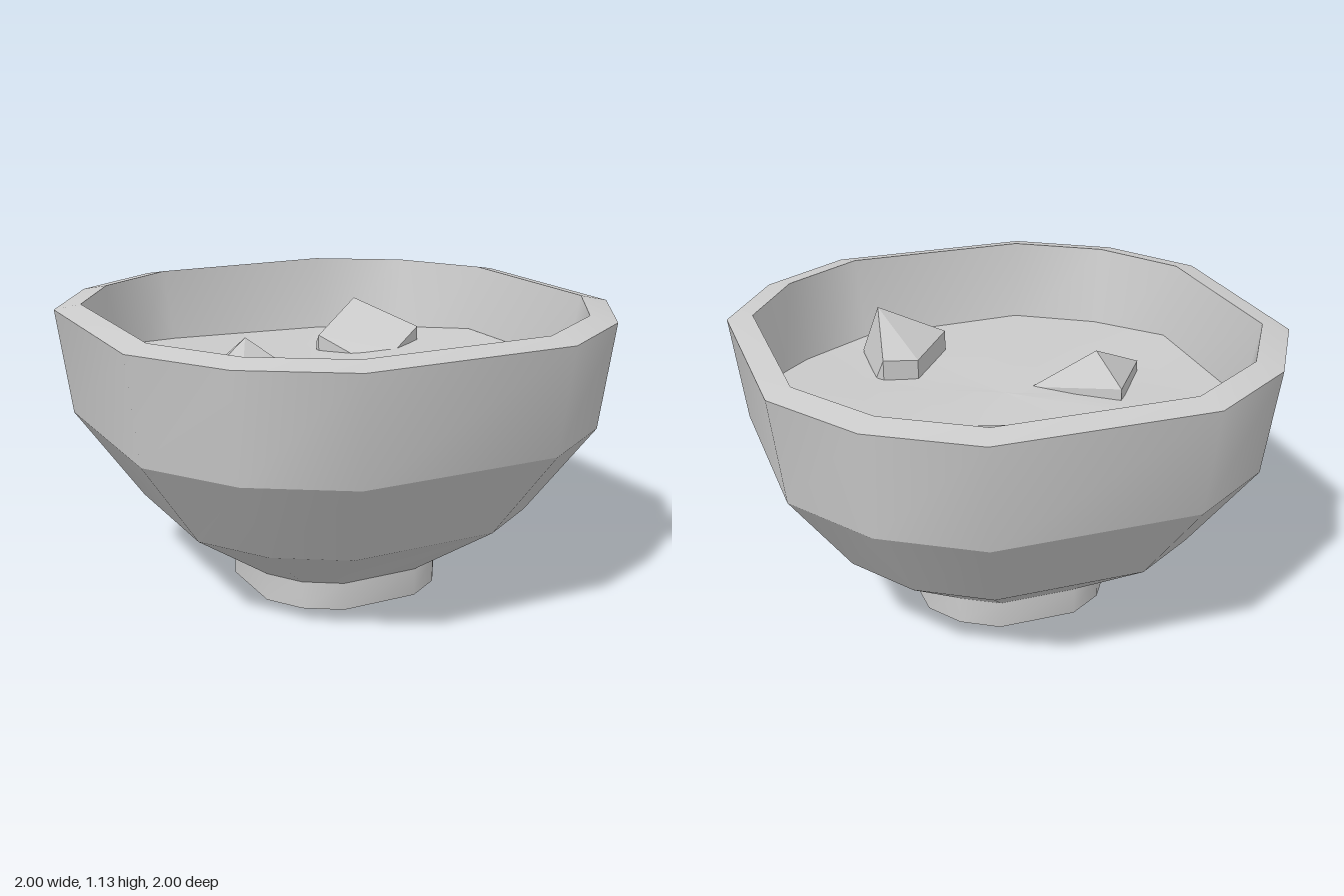
import * as THREE from 'three';
import { ConvexGeometry } from 'three/addons/geometries/ConvexGeometry.js';

// Twelve-sided outline, half-width 1, going from +x towards +z
const OUTLINE = [
  [1, 0.41], [0.77, 0.77], [0.41, 1], [-0.41, 1], [-0.77, 0.77], [-1, 0.41],
  [-1, -0.41], [-0.77, -0.77], [-0.41, -1], [0.41, -1], [0.77, -0.77], [1, -0.41],
];

// Surface height of the soup at each corner of the outline
const WAVES = [0.86, 0.805, 0.8, 0.81, 0.81, 0.83, 0.82, 0.885, 0.84, 0.82, 0.83, 0.86];

const material = new THREE.MeshStandardMaterial({ color: 0xcccccc });

// Surface through scaled copies of the outline; each ring is [scale, height or heights]
function loft(name, rings) {
  const n = OUTLINE.length;
  const positions = [];
  const index = [];
  rings.forEach(([r, y], k) => {
    OUTLINE.forEach(([x, z], i) => positions.push(x * r, Array.isArray(y) ? y[i] : y, z * r));
    if (k === 0) return;
    for (let i = 0; i < n; i++) {
      const j = (i + 1) % n;
      const lo = (k - 1) * n, hi = k * n;
      index.push(lo + i, hi + i, lo + j);
      if (r > 0) index.push(lo + j, hi + i, hi + j);
    }
  });
  const geometry = new THREE.BufferGeometry();
  geometry.setAttribute('position', new THREE.Float32BufferAttribute(positions, 3));
  geometry.setIndex(index);
  geometry.computeVertexNormals();
  const mesh = new THREE.Mesh(geometry, material);
  mesh.name = name;
  return mesh;
}

// Angular chunk: hull of its visible corners and their copies sunk into the soup
function chunk(name, corners) {
  const points = [];
  for (const [x, y, z] of corners) {
    points.push(new THREE.Vector3(x, y, z), new THREE.Vector3(x, 0.74, z));
  }
  const mesh = new THREE.Mesh(new ConvexGeometry(points), material);
  mesh.name = name;
  return mesh;
}

export function createModel() {
  const model = new THREE.Group();
  model.name = 'bowlOfSoup';

  // Bowl: separate bands keep the horizontal edges sharp and the sides smooth
  const bowl = new THREE.Group();
  bowl.name = 'bowl';
  const bands = [
    ['footBase', [0.001, 0], [0.38, 0]],
    ['foot', [0.38, 0], [0.38, 0.11]],
    ['lowerWall', [0.38, 0.11], [0.71, 0.35]],
    ['middleWall', [0.71, 0.35], [0.95, 0.7]],
    ['upperWall', [0.95, 0.7], [1, 1.11]],
    ['rim', [1, 1.11], [0.905, 1.13]],
    ['innerWall', [0.905, 1.13], [0.83, 0.7]],
  ];
  for (const [name, ...rings] of bands) bowl.add(loft(name, rings));
  model.add(bowl);

  // Gently uneven soup surface
  const level = 0.825;
  const blend = (t) => WAVES.map((y) => level + (y - level) * t);
  model.add(loft('soup', [[0.853, WAVES], [0.55, blend(0.5)], [0.25, blend(0.15)], [0, level]]));

  // Chunks floating in the soup
  model.add(
    chunk('leftBackChunk', [
      [0.4, 1.0, -0.59], [0.41, 0.95, -0.64], [0.14, 0.89, -0.42], [0.14, 0.86, -0.44],
      [0.58, 0.9, -0.34], [0.58, 0.86, -0.36], [0.42, 0.83, -0.25], [0.24, 0.82, -0.29],
    ]),
    chunk('rightChunk', [
      [-0.34, 0.995, -0.1], [-0.39, 0.88, -0.24], [-0.58, 0.87, 0.03],
      [-0.56, 0.83, 0.09], [-0.47, 0.81, 0.15], [-0.12, 0.82, 0.03],
    ]),
    chunk('leftFrontChunk', [
      [0.28, 0.9, 0.26], [0.42, 0.91, 0.275], [0.36, 1.03, 0.57],
      [0.08, 0.9, 0.54], [0.44, 0.83, 0.31], [0.41, 0.82, 0.65],
    ]),
  );
  return model;
}
